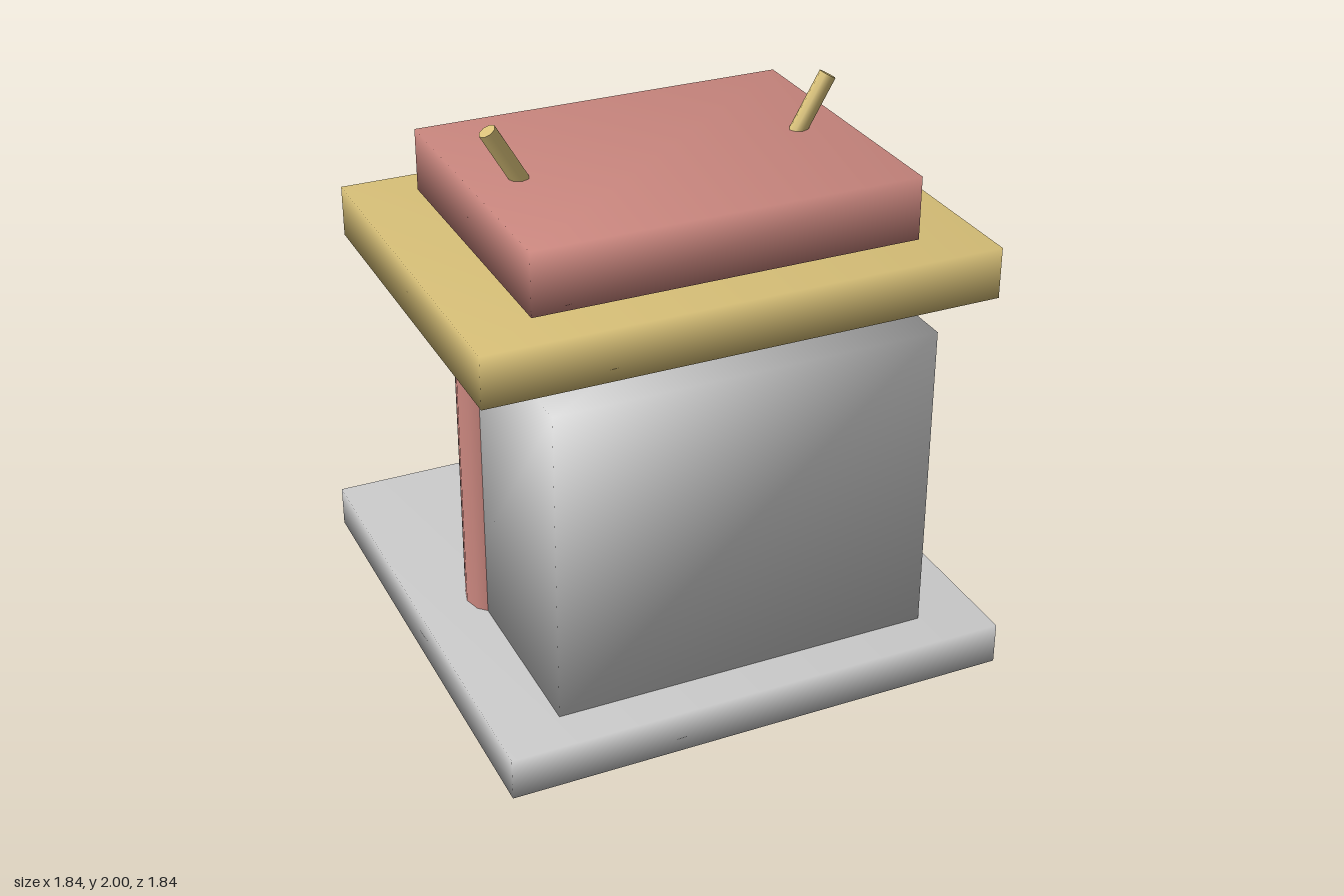
import * as THREE from 'three';
import { mergeVertices } from 'three/addons/utils/BufferGeometryUtils.js';

const material = (color) => new THREE.MeshStandardMaterial({ color });

export function createModel() {
  const model = new THREE.Group();
  model.name = 'shrine';
  const stone = material(0xcccccc);
  const red = material(0xcc8880);
  const gold = material(0xd8c078);
  const iron = material(0x77777b);

  const add = (name, geometry, mat, x, y, z) => {
    const mesh = new THREE.Mesh(geometry, mat);
    mesh.name = name;
    mesh.position.set(x, y, z);
    model.add(mesh);
    return mesh;
  };

  // Block given by its extents, with normals shared around the corners for soft shading
  const block = (name, mat, halfWidth, [y0, y1], [z0, z1]) => {
    let geometry = new THREE.BoxGeometry(halfWidth * 2, y1 - y0, z1 - z0);
    geometry.deleteAttribute('normal');
    geometry.deleteAttribute('uv');
    geometry = mergeVertices(geometry);
    geometry.computeVertexNormals();
    return add(name, geometry, mat, 0, (y0 + y1) / 2, (z0 + z1) / 2);
  };

  // Plinth, hall and two stacked roof slabs
  block('base', stone, 0.92, [0, 0.153], [-0.92, 0.92]);
  block('hall', stone, 0.69, [0.153, 1.303], [-0.153, 0.767]);
  block('lowerRoof', gold, 0.92, [1.383, 1.567], [-0.613, 0.767]);
  block('upperRoof', red, 0.69, [1.577, 1.803], [-0.46, 0.613]);

  // Side pillars and the roof horns leaning outward
  for (const [label, side] of [['left', 1], ['right', -1]]) {
    add(label + 'Pillar', new THREE.CylinderGeometry(0.123, 0.123, 1.23, 12),
      red, side * 0.613, 0.768, 0);
    const horn = add(label + 'RoofHorn', new THREE.CylinderGeometry(0.031, 0.031, 0.23, 8),
      gold, side * 0.562, 1.885, 0.077);
    horn.rotation.z = -side * Math.PI / 6;
  }

  // Mat behind the hall, with a burner and two puffs of smoke
  block('mat', red, 0.307, [0.153, 0.169], [-0.92, -0.153]);
  add('burner', new THREE.CylinderGeometry(0.123, 0.123, 0.171, 12), iron, 0, 0.2545, -0.536);
  add('lowerPuff', new THREE.SphereGeometry(0.061, 20, 14), stone, 0, 0.388, -0.536);
  add('upperPuff', new THREE.SphereGeometry(0.045, 20, 14), stone, -0.046, 0.478, -0.52);

  return model;
}
